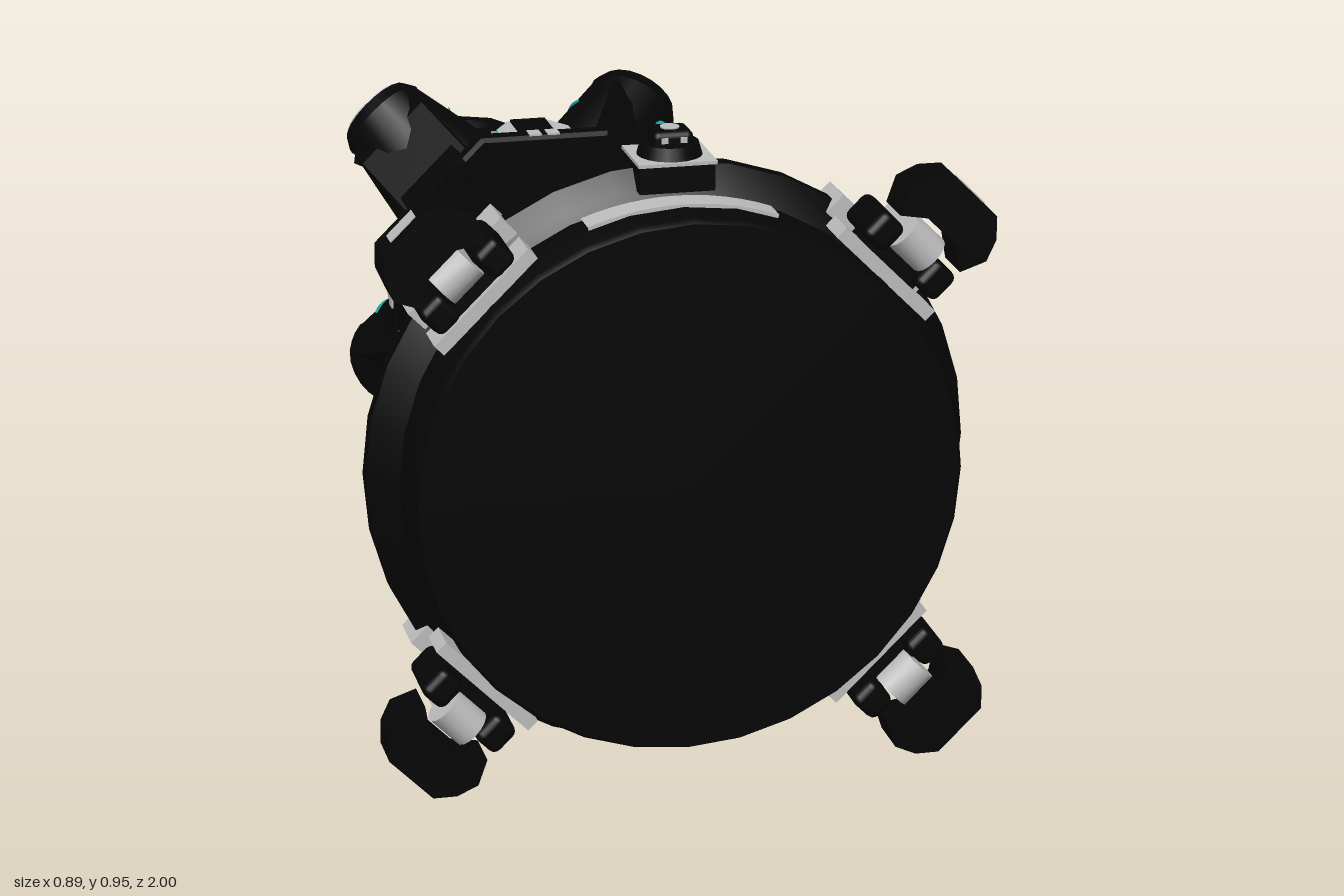
import * as THREE from 'three';
import { toCreasedNormals } from 'three/addons/utils/BufferGeometryUtils.js';
import { RoundedBoxGeometry } from 'three/addons/geometries/RoundedBoxGeometry.js';

export function createModel() {
  const mat = (name, color, side = THREE.FrontSide) => {
    const m = new THREE.MeshStandardMaterial({ color, side });
    m.name = name;
    return m;
  };
  const black = mat('black hull', 0x050505);
  const grey = mat('light grey', 0xbebebe);
  const cyan = mat('cyan light', 0x18a8b0);
  const panelBlack = mat('black panel', 0x050505, THREE.DoubleSide);

  const model = new THREE.Group();
  model.name = 'spacecraft';
  const craft = new THREE.Group();
  craft.name = 'craft';
  craft.position.y = 0.45;
  model.add(craft);

  const add = (parent, name, geo, material, x = 0, y = 0, z = 0, rx = 0) => {
    const m = new THREE.Mesh(geo, material);
    m.name = name;
    m.position.set(x, y, z);
    m.rotation.x = rx;
    parent.add(m);
    return m;
  };
  const box = (w, h, d) => new THREE.BoxGeometry(w, h, d);
  const cyl = (r1, r2, h, n = 20) => new THREE.CylinderGeometry(r1, r2, h, n);
  const shape = (points) => new THREE.Shape(points.map(([x, y]) => new THREE.Vector2(x, y)));
  const extrude = (s, depth, curveSegments = 6) => new THREE.ExtrudeGeometry(s, { depth, bevelEnabled: false, curveSegments });
  // Body of revolution along z; profile is [z, radius] from rear to front
  const spin = (profile, n = 32, start = 0, sweep = Math.PI * 2) => {
    const g = new THREE.LatheGeometry(profile.map(([z, r]) => new THREE.Vector2(r, z)), n, start, sweep);
    if (n === 8) g.rotateY(Math.PI / 8);
    g.rotateX(Math.PI / 2);
    return toCreasedNormals(g, n === 8 ? 0.1 : 0.6);
  };
  // Octagonal section given by its apothem
  const octagon = (profile) => spin(profile.map(([z, r]) => [z, r / Math.cos(Math.PI / 8)]), 8);
  // Local frame on the hull: y points outward, x sideways, z to the front
  const around = (name, degrees) => {
    const g = new THREE.Group();
    g.name = name;
    g.rotation.z = THREE.MathUtils.degToRad(degrees);
    craft.add(g);
    return g;
  };
  const hullRadius = (z) => 0.245 + 0.0667 * z;
  const tilt = -0.0667;

  // Front docking ring with a narrower shield ahead of it
  add(craft, 'frontRing', spin([[0.8, 0], [0.8, 0.25], [0.78, 0.27], [0.78, 0.385], [0.8, 0.41], [0.825, 0.447],
    [0.85, 0.447], [0.875, 0.42], [0.885, 0.404], [0.985, 0.404], [0.995, 0.398], [0.995, 0]]), black);
  const ringTrim = add(craft, 'ringTrim', new THREE.TorusGeometry(0.285, 0.005, 6, 48), grey, 0, 0, 0.78);
  ringTrim.scale.z = 0.6;

  // Flared neck with ribs
  add(craft, 'neck', spin([[0.6, 0.195], [0.68, 0.195], [0.73, 0.205], [0.765, 0.23], [0.785, 0.275]]), black);
  const rib = new THREE.Shape();
  rib.moveTo(0.6, 0.18);
  rib.lineTo(0.785, 0.18);
  rib.lineTo(0.785, 0.265);
  rib.quadraticCurveTo(0.765, 0.21, 0.69, 0.207);
  rib.lineTo(0.6, 0.207);
  const ribGeo = extrude(rib, 0.026);
  ribGeo.translate(0, 0, -0.013);
  ribGeo.rotateY(-Math.PI / 2);
  for (let i = 0; i < 12; i++) add(around('neckRibMount', i * 30), 'neckRib', ribGeo, grey);

  // Main hull, waist collar and rear hull
  add(craft, 'mainHull', octagon([[0.02, 0], [0.02, 0.245], [0.57, 0.284], [0.6, 0.284], [0.625, 0.265], [0.625, 0]]), black);
  add(craft, 'waistCollar', octagon([[-0.03, 0.215], [-0.025, 0.238], [0, 0.252], [0.025, 0.252], [0.04, 0.24]]), black);
  add(craft, 'rearHull', octagon([[-0.345, 0], [-0.345, 0.13], [-0.3, 0.16], [-0.1, 0.212], [0.02, 0.23]]), black);

  // Tail cylinder and dishes
  add(craft, 'tail', spin([[-0.51, 0], [-0.51, 0.085], [-0.5, 0.11], [-0.475, 0.122], [-0.39, 0.122],
    [-0.38, 0.118], [-0.36, 0.118], [-0.34, 0.13]]), black);
  add(craft, 'dishStem', cyl(0.03, 0.03, 0.16, 12), black, 0, 0.005, -0.55, Math.PI / 2);
  add(craft, 'rearDish', spin([[-0.6, 0], [-0.61, 0.1], [-0.595, 0.102], [-0.565, 0.085], [-0.54, 0.055], [-0.53, 0.03],
    [-0.51, 0.025]], 24), black);
  add(craft, 'flatDish', cyl(0.105, 0.105, 0.025, 28), black, 0, 0.013, -0.665);
  for (const r of [0.095, 0.06]) add(craft, 'dishRing', new THREE.TorusGeometry(r, 0.004, 6, 32), black, 0, 0.026, -0.665, Math.PI / 2);
  // Thin irregular panel lying flat behind the tail
  const panel = new THREE.ShapeGeometry(shape([[-0.12, 1], [0.105, 0.9], [0.19, 0.73], [0.125, 0.38], [-0.06, 0.37],
    [-0.115, 0.5], [-0.19, 0.67]]));
  panel.rotateX(-Math.PI / 2);
  add(craft, 'tailPanel', panel, panelBlack, 0, 0.013, 0);

  // Four flat sides: plates, hatches and rear markers
  const hatchGeo = extrude(shape([[-0.06, 0], [0.06, 0], [0.06, 0.065], [0.032, 0.11], [-0.032, 0.11], [-0.06, 0.065]]), 0.032);
  hatchGeo.rotateX(-Math.PI / 2);
  for (const a of [0, 90, 180, 270]) {
    const s = around('hullSide', a);
    const size = a === 0 ? 0.13 : 0.085;
    const zp = a === 0 ? 0.455 : 0.485;
    add(s, 'servicePlate', box(size, 0.008, size), grey, 0, hullRadius(zp), zp, tilt);
    for (const d of [-1, 1]) {
      add(s, 'smallPlate', box(0.03, 0.008, 0.03), grey, d * 0.09, hullRadius(0.55), 0.55, tilt);
      if (a !== 0) add(s, 'smallPlate', box(0.028, 0.008, 0.018), grey, d * 0.055, hullRadius(0.1), 0.1, tilt);
      add(s, 'panelSeam', box(0.008, 0.01, 0.5), black, d * 0.1, hullRadius(0.31), 0.31, tilt);
      add(s, 'smallMarker', box(0.02, 0.012, 0.025), grey, d * 0.015, 0.248, 0.014);
      // Light strips on the slanted rear edges of the hatch
      const strip = add(s, 'hatchLight', box(0.006, 0.026, 0.05), cyan, d * 0.045, 0.224, -0.087);
      strip.rotation.y = d * 0.557;
      add(s, 'rearMarker', box(0.022, 0.01, 0.022), grey, d * 0.06, 0.168, -0.285, -0.26);
    }
    add(s, 'hatch', hatchGeo, grey, 0, 0.206, 0);
    add(s, 'hatchDoor', box(0.058, 0.012, 0.085), black, 0, 0.236, -0.064);
    add(s, 'rearMarker', box(0.045, 0.012, 0.045), grey, 0, 0.187, -0.195, -0.26);
    add(s, 'rearMarker', box(0.042, 0.012, 0.042), grey, 0, 0.167, -0.275, -0.26);
  }

  // Nozzle face ring
  const ringShape = new THREE.Shape().absarc(0, 0, 0.058, 0, Math.PI * 2);
  ringShape.holes.push(new THREE.Path().absarc(0, 0, 0.03, 0, Math.PI * 2));
  const ringGeo = extrude(ringShape, 0.012, 16);
  ringGeo.rotateX(-Math.PI / 2);
  // Hood over the front of each thruster: profile is [z, outward]
  const hoodGeo = extrude(shape([[-0.2, 0.18], [-0.03, 0.18], [-0.045, 0.235], [-0.16, 0.305], [-0.2, 0.315]]), 0.14);
  hoodGeo.translate(0, 0, -0.07);
  hoodGeo.rotateY(-Math.PI / 2);
  // Claw outline: x sideways, y outward
  const clawGeo = extrude(shape([[-0.064, 0.488], [-0.03, 0.512], [0.03, 0.512], [0.064, 0.488], [0.082, 0.525],
    [0.07, 0.557], [0.045, 0.582], [-0.045, 0.582], [-0.07, 0.557], [-0.082, 0.525]]), 0.07);
  // Half arc of light on the rear side of each pod
  const podLightGeo = new THREE.TorusGeometry(0.087, 0.0035, 5, 24, Math.PI);
  podLightGeo.rotateX(-Math.PI / 2);
  const rollerGeo = toCreasedNormals(cyl(0.03, 0.03, 0.058, 16), 0.6);
  rollerGeo.rotateZ(Math.PI / 2);

  for (const a of [45, 135, 225, 315]) {
    const d = around('hullCorner', a);
    // Corner rail with end cap and plates
    add(d, 'cornerRail', box(0.1, 0.02, 0.54), black, 0, hullRadius(0.31), 0.31, tilt);
    add(d, 'railCap', new RoundedBoxGeometry(0.115, 0.045, 0.068, 3, 0.02), grey, 0, 0.282, 0.608);
    add(d, 'collarBlock', box(0.12, 0.025, 0.07), black, 0, 0.248, 0);
    for (const s of [-1, 1]) add(d, 'smallPlate', box(0.03, 0.008, 0.03), grey, s * 0.095, hullRadius(0.48), 0.48, tilt);

    // Angled thruster pod
    add(d, 'thrusterHood', hoodGeo, black);
    const pod = new THREE.Group();
    pod.name = 'thruster';
    pod.position.set(0, 0.3, -0.25);
    pod.rotation.x = -0.64;
    d.add(pod);
    add(pod, 'podHousing', toCreasedNormals(cyl(0.075, 0.118, 0.23, 20), 0.6), black, 0, -0.115, 0);
    add(pod, 'podLip', toCreasedNormals(cyl(0.066, 0.077, 0.02), 0.6), black, 0, 0.01, 0);
    add(pod, 'nozzleRing', ringGeo, grey, 0, 0.013, 0);
    add(pod, 'nozzleCore', cyl(0.03, 0.03, 0.012), black, 0, 0.012, 0);
    add(pod, 'podLight', podLightGeo, cyan, 0, -0.065, 0);
    add(d, 'rearCap', new RoundedBoxGeometry(0.05, 0.035, 0.03, 2, 0.012), grey, 0, 0.14, -0.345);

    // Docking clamp
    const c = new THREE.Group();
    c.name = 'dockingClamp';
    d.add(c);
    add(c, 'clampBase', box(0.19, 0.035, 0.07), grey, 0, 0.434, 0.835);
    add(c, 'clampFoot', box(0.19, 0.02, 0.06), grey, 0, 0.413, 0.93);
    add(c, 'clampHousing', box(0.1, 0.045, 0.07), black, 0, 0.443, 0.915);
    for (const s of [-1, 1]) {
      add(c, 'clampBracket', new RoundedBoxGeometry(0.045, 0.05, 0.11, 2, 0.012), black, s * 0.055, 0.455, 0.927);
      add(c, 'clampArm', box(0.014, 0.04, 0.09), grey, s * 0.022, 0.472, 0.9);
    }
    for (const x of [-0.045, 0, 0.045]) add(c, 'clampLight', box(0.014, 0.026, 0.008), cyan, x, 0.464, 0.868);
    add(c, 'clampRoller', rollerGeo, grey, 0, 0.475, 0.955);
    add(c, 'clampClaw', clawGeo, black, 0, 0, 0.925);
    add(c, 'clawInset', box(0.05, 0.008, 0.03), grey, 0, 0.58, 0.96);
  }

  // Round port on the upper hull
  add(craft, 'hullPort', cyl(0.045, 0.052, 0.03), black, 0, 0.287, 0.455);
  add(craft, 'hullPortLens', cyl(0.02, 0.02, 0.008), grey, 0, 0.303, 0.455);

  // Sensor on top of the front ring
  add(craft, 'sensorBase', box(0.11, 0.04, 0.1), black, 0, 0.434, 0.845);
  add(craft, 'sensorPlate', box(0.115, 0.005, 0.105), grey, 0, 0.456, 0.845);
  add(craft, 'sensorDrum', cyl(0.042, 0.048, 0.02), black, 0, 0.467, 0.845);
  add(craft, 'sensorHead', new RoundedBoxGeometry(0.06, 0.03, 0.055, 2, 0.01), black, 0, 0.482, 0.845);
  add(craft, 'sensorLens', cyl(0.014, 0.014, 0.006, 14), grey, 0, 0.496, 0.845);
  for (const x of [-0.014, 0.014]) add(craft, 'sensorEye', box(0.01, 0.008, 0.006), grey, x, 0.485, 0.872);
  add(craft, 'sensorLight', cyl(0.009, 0.009, 0.025, 10), cyan, 0, 0.482, 0.802, Math.PI / 2);

  // Curved plate wrapped on the shield below the sensor
  add(craft, 'shieldPlate', spin([[0.888, 0.4], [0.888, 0.408], [0.932, 0.408], [0.932, 0.4]], 12, Math.PI - 0.35, 0.7), grey);

  return model;
}
